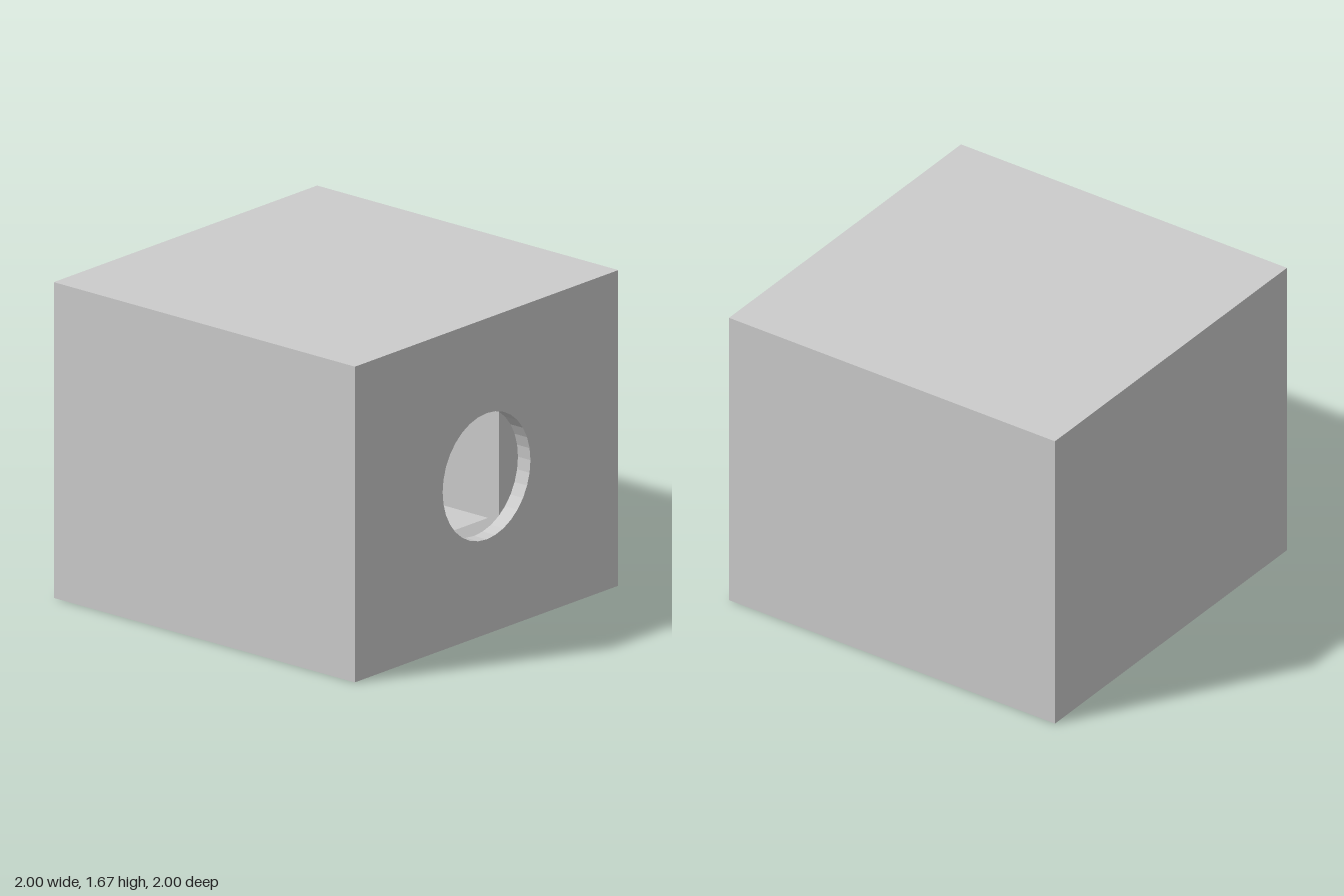
import * as THREE from 'three';

const W = 2, H = 1.667, MID = H / 2;
const grey = new THREE.MeshStandardMaterial({ color: 0xcccccc, flatShading: true });
const inward = new THREE.MeshStandardMaterial({ color: 0xcccccc, flatShading: true, side: THREE.BackSide });

function rectangle(target, w, h) {
  return target.moveTo(-w / 2, -h / 2).lineTo(w / 2, -h / 2).lineTo(w / 2, h / 2).lineTo(-w / 2, h / 2).closePath();
}

// Upright panel facing +x, with its outer face at x
function panel(name, w, h, hole, depth, x) {
  const shape = rectangle(new THREE.Shape(), w, h);
  shape.holes.push(hole);
  const geometry = new THREE.ExtrudeGeometry(shape, { depth, bevelEnabled: false, curveSegments: 16 });
  geometry.translate(0, 0, -depth).rotateY(Math.PI / 2);
  const mesh = new THREE.Mesh(geometry, grey);
  mesh.name = name;
  mesh.position.set(x, MID, 0);
  return mesh;
}

// Hollow chamber seen from within, open towards +x
function chamber(name, back, front, h, d) {
  const mesh = new THREE.Mesh(new THREE.BoxGeometry(front - back, h, d), inward);
  mesh.name = name;
  mesh.position.set((front + back) / 2, MID, 0);
  return mesh;
}

export function createModel() {
  const model = new THREE.Group();
  model.name = 'hollowBox';

  // Outer shell without its +x face (the first six indices)
  const shellGeometry = new THREE.BoxGeometry(W, H, W);
  shellGeometry.setIndex(Array.from(shellGeometry.index.array).slice(6));
  shellGeometry.clearGroups();
  const shell = new THREE.Mesh(shellGeometry, grey);
  shell.name = 'outerShell';
  shell.position.y = MID;
  model.add(shell);

  // Side wall with the round opening
  const round = new THREE.Path().absarc(0, 0, 1 / 3, 0, Math.PI * 2, true);
  model.add(panel('sideWall', W - 0.001, H - 0.001, round, 0.083, 1));

  // Inner partition with a square opening
  const square = rectangle(new THREE.Path(), 1.333, 1.333);
  model.add(panel('innerPartition', W - 0.01, H - 0.01, square, 0.04, 0.5));

  // Nested chambers behind the partition
  model.add(chamber('outerChamber', -0.917, 0.5, 1.333, 1.333));
  model.add(chamber('innerChamber', -0.833, 0.5, 0.96, 1.167));
  return model;
}
